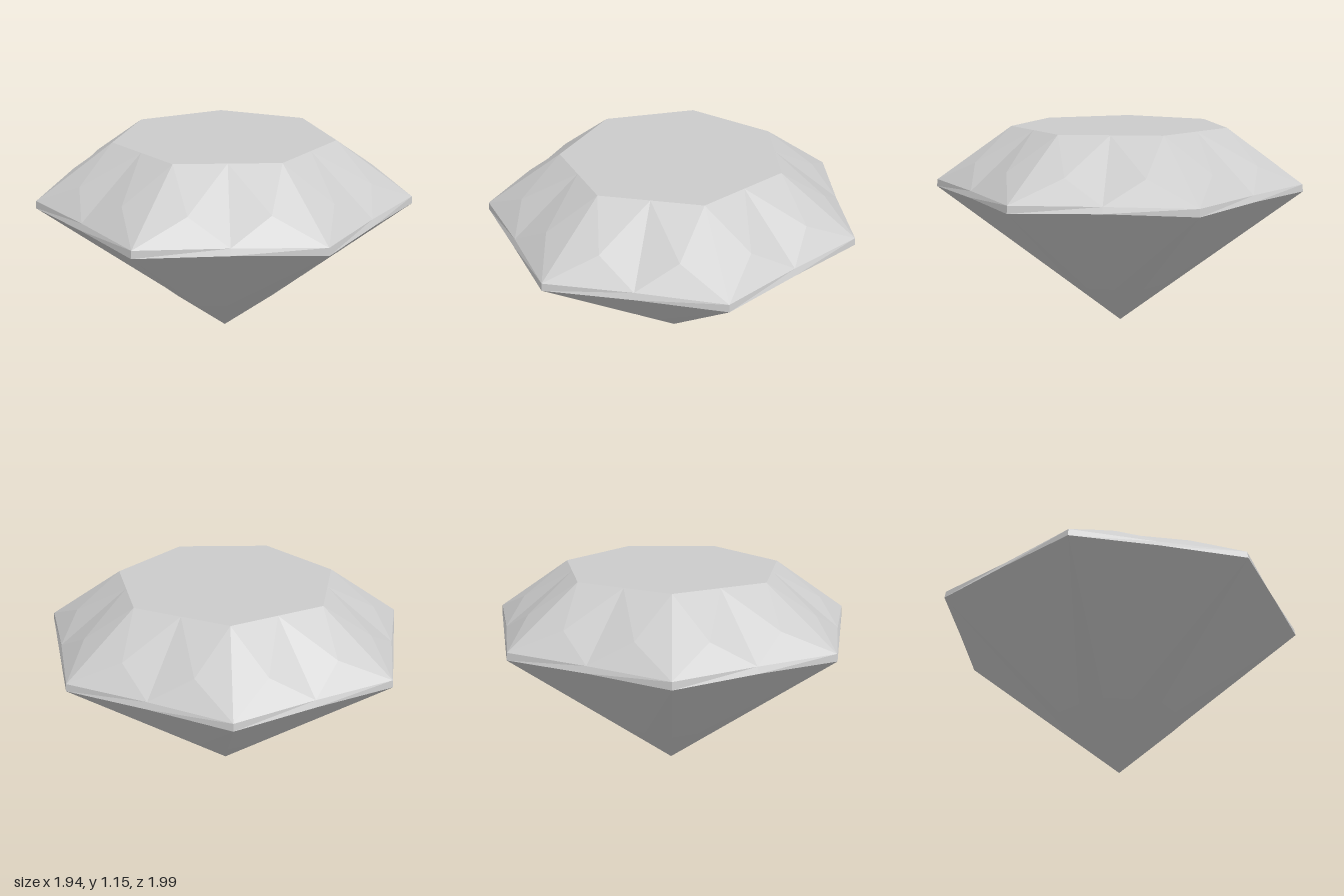
import * as THREE from 'three';

const SIDES = 7;
const STEP = (Math.PI * 2) / SIDES;
const CENTRE_X = -0.05;

// Point on the gem from radius, height and angle (measured from +x toward +z)
const point = (r, y, a) => [CENTRE_X + r * Math.cos(a), y, r * Math.sin(a)];

// Collects flat facets; corners run counter-clockwise seen from outside
function facetMesh(name, build) {
  const positions = [];
  const facet = (...p) => {
    for (let i = 1; i < p.length - 1; i++) positions.push(...p[0], ...p[i], ...p[i + 1]);
  };
  for (let k = 0; k < SIDES; k++) build(facet, k * STEP);
  const geometry = new THREE.BufferGeometry();
  geometry.setAttribute('position', new THREE.Float32BufferAttribute(positions, 3));
  geometry.computeVertexNormals();
  const mesh = new THREE.Mesh(
    geometry,
    new THREE.MeshStandardMaterial({ color: 0xcccccc, flatShading: true })
  );
  mesh.name = name;
  return mesh;
}

// Named rings of the cut; corner rings sit at a, mid rings half a step further
const TOP = 1.155;
const tableCorner = (a) => point(0.605, TOP, a);
const tableMid = (a) => point(0.545, TOP, a + STEP / 2);
const crownPoint = (a, side) => point(0.82, 0.98, a + side * 0.212);
const girdleTop = (a) => point(1.018, 0.868, a);
const girdleTopMid = (a) => point(0.908, 0.868, a + STEP / 2);
const girdleLow = (a) => point(1.023, 0.83, a);
const girdleLowMid = (a) => point(0.922, 0.837, a + STEP / 2);
const ridge = (a) => point(0.357, 0.29, a);
const bulge = (a) => point(0.334, 0.29, a + STEP / 2);
const tip = [CENTRE_X, 0, 0];

export function createModel() {
  const gem = new THREE.Group();
  gem.name = 'cutGem';

  // Flat top
  gem.add(facetMesh('table', (facet, a) => {
    facet([CENTRE_X, TOP, 0], tableMid(a), tableCorner(a));
    facet([CENTRE_X, TOP, 0], tableCorner(a + STEP), tableMid(a));
  }));

  // Kites and triangles sloping from the table to the girdle
  gem.add(facetMesh('crown', (facet, a) => {
    const b = a + STEP;
    const p = crownPoint(a, 1);
    const q = crownPoint(b, -1);
    facet(tableCorner(a), p, girdleTop(a), crownPoint(a, -1)); // corner kite
    facet(tableMid(a), q, girdleTopMid(a), p); // side kite
    facet(tableCorner(a), tableMid(a), p); // star triangles
    facet(tableMid(a), tableCorner(b), q);
    facet(p, girdleTopMid(a), girdleTop(a)); // girdle triangles
    facet(q, girdleTop(b), girdleTopMid(a));
  }));

  // Thin band around the widest part
  gem.add(facetMesh('girdle', (facet, a) => {
    const b = a + STEP;
    facet(girdleTop(a), girdleTopMid(a), girdleLowMid(a), girdleLow(a));
    facet(girdleTopMid(a), girdleTop(b), girdleLow(b), girdleLowMid(a));
  }));

  // Pointed underside with slightly bulged sides
  gem.add(facetMesh('pavilion', (facet, a) => {
    const b = a + STEP;
    facet(girdleLow(a), girdleLowMid(a), bulge(a), ridge(a));
    facet(girdleLowMid(a), girdleLow(b), ridge(b), bulge(a));
    facet(ridge(a), bulge(a), tip);
    facet(bulge(a), ridge(b), tip);
  }));

  return gem;
}
